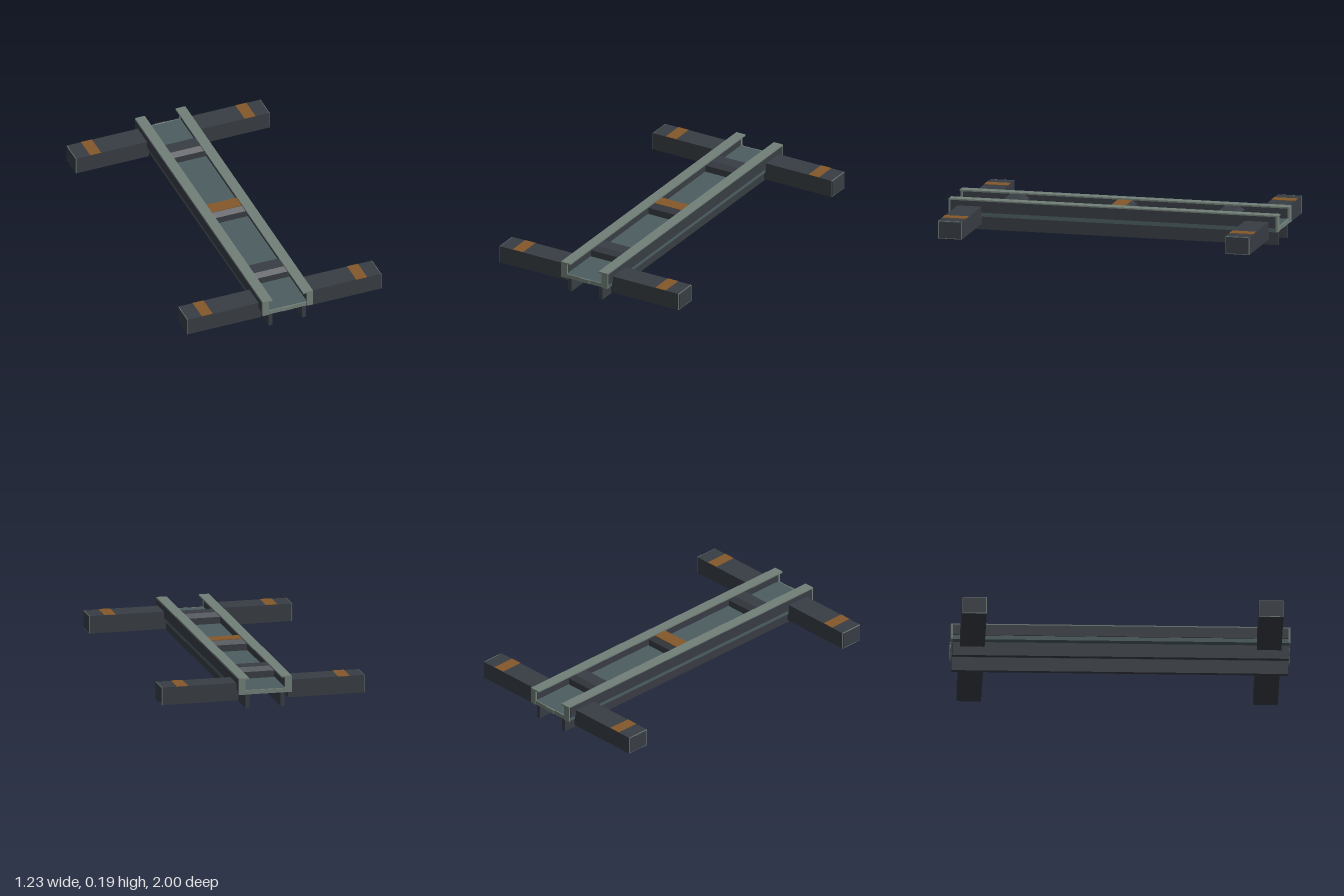
import * as THREE from 'three';

const mat = (name, color) => {
  const m = new THREE.MeshStandardMaterial({ color });
  m.name = name;
  return m;
};

export function createModel() {
  const root = new THREE.Group();
  root.name = 'railFrame';
  const dark = mat('dark steel', 0x383d44);
  const pale = mat('pale grey green', 0x728078);
  const teal = mat('slate teal', 0x4c5d60);
  const orange = mat('burnt orange', 0x85592a);

  // Box given by its min and max along each axis
  const box = (name, m, x0, x1, y0, y1, z0, z1) => {
    const mesh = new THREE.Mesh(new THREE.BoxGeometry(x1 - x0, y1 - y0, z1 - z0), m);
    mesh.position.set((x0 + x1) / 2, (y0 + y1) / 2, (z0 + z1) / 2);
    mesh.name = name;
    root.add(mesh);
    return mesh;
  };
  // Same box on the +x or -x side
  const sideBox = (s, name, m, x0, x1, ...rest) =>
    s > 0 ? box(name, m, x0, x1, ...rest) : box(name, m, -x1, -x0, ...rest);

  // Deck plate
  box('deck', teal, -0.158, 0.158, 0.085, 0.11, -0.99, 0.99);

  for (const s of [1, -1]) {
    // Side rail: dark web with a pale overhanging flange
    sideBox(s, 'railWeb', dark, 0.125, 0.163, 0.11, 0.177, -0.988, 0.988);
    sideBox(s, 'railFlange', pale, 0.097, 0.16, 0.176, 0.185, -0.99, 0.99);
    // Keel beam under the deck
    sideBox(s, 'keelBeam', dark, 0.094, 0.118, 0, 0.085, -0.99, 0.99);

    for (const e of [1, -1]) {
      // Outrigger arm with rimmed end plate and painted band
      const z = e * 0.873;
      sideBox(s, 'outriggerArm', dark, 0.15, 0.612, 0.04, 0.146, z - 0.072, z + 0.072);
      sideBox(s, 'armEndRim', pale, 0.612, 0.615, 0.04, 0.146, z - 0.072, z + 0.072);
      sideBox(s, 'armEndPlate', dark, 0.612, 0.617, 0.044, 0.142, z - 0.068, z + 0.068);
      sideBox(s, 'armBand', orange, 0.455, 0.525, 0.145, 0.148, z - 0.072, z + 0.072);
      // Rail end caps
      const z0 = e > 0 ? 0.988 : -1, z1 = z0 + 0.012;
      sideBox(s, 'railEndCap', pale, 0.12, 0.16, 0.085, 0.183, z0, z1);
      sideBox(s, 'flangeEndCap', pale, 0.097, 0.16, 0.176, 0.185, z0, z1);
    }
  }

  // End lips of the deck with a small middle tab
  for (const e of [1, -1]) {
    const z0 = e > 0 ? 0.988 : -0.996;
    box('deckEndLip', pale, -0.12, 0.12, 0.085, 0.11, z0, z0 + 0.008);
    box('deckEndTab', pale, -0.033, 0.033, 0.086, 0.109, e * 0.995 - 0.005, e * 0.995 + 0.005);
  }

  // Cross members with sloped shoulders
  const profile = new THREE.Shape([
    [-0.069, 0.11], [0.069, 0.11], [0.069, 0.15], [0.042, 0.174], [-0.042, 0.174], [-0.069, 0.15],
  ].map(([x, y]) => new THREE.Vector2(x, y)));
  for (const z of [-0.655, -0.003, 0.652]) {
    const geo = new THREE.ExtrudeGeometry(profile, { depth: 0.244, bevelEnabled: false });
    geo.translate(0, 0, -0.122).rotateY(Math.PI / 2);
    const mesh = new THREE.Mesh(geo, dark);
    mesh.name = 'crossMember';
    mesh.position.z = z;
    root.add(mesh);
  }
  // Painted top of the middle member
  box('crossMemberBand', orange, -0.1, 0.1, 0.173, 0.177, -0.046, 0.038);

  return root;
}
